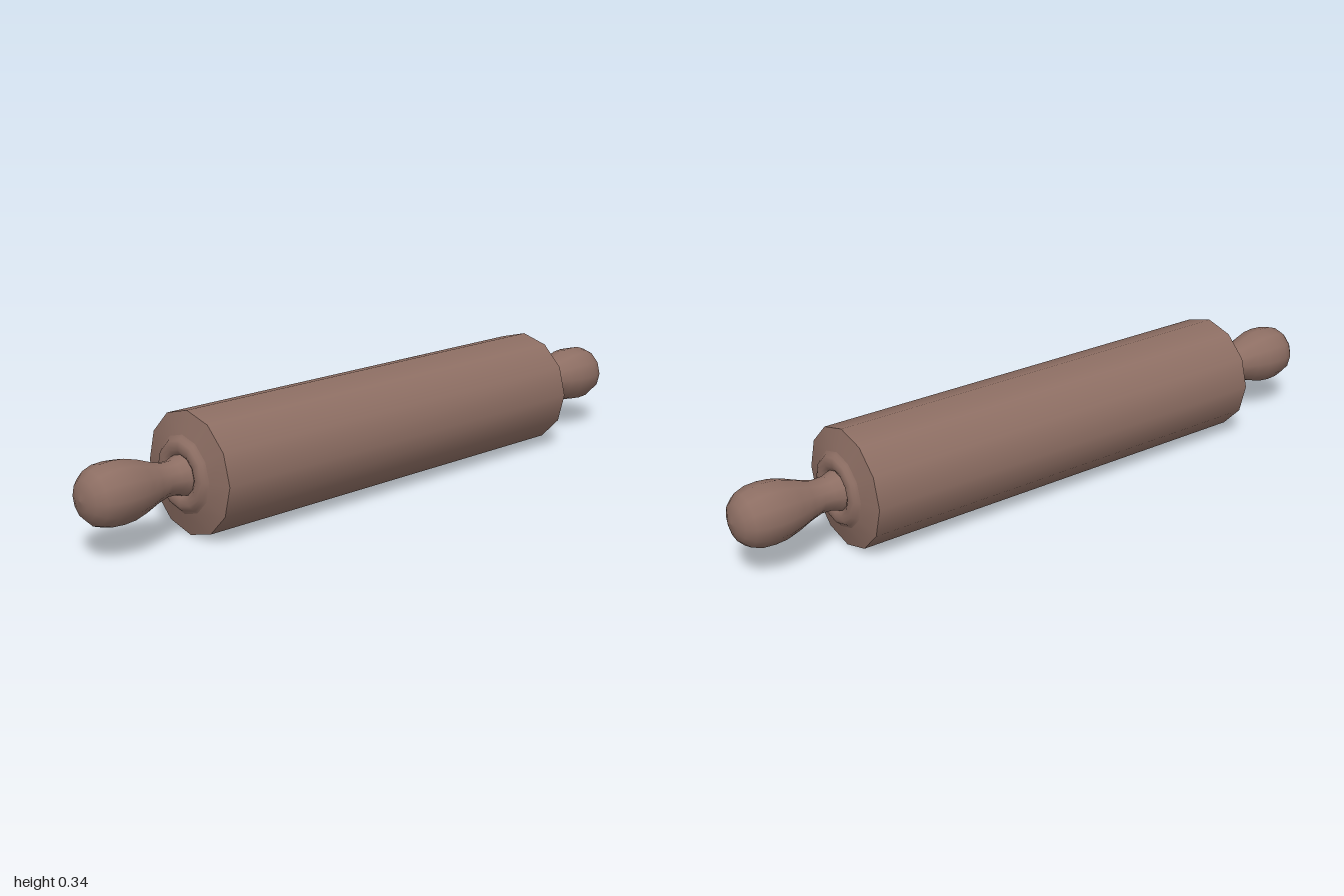
import * as THREE from 'three';

const SIDES = 12;
const RADIUS = 0.17;
const HALF = 0.665;

const wood = new THREE.MeshStandardMaterial({ color: 0x8d6e63 });

// Turned part along the x axis from [x, radius] pairs, listed in rising x
function turned(name, profile) {
  const points = profile.map(([x, r]) => new THREE.Vector2(r, x));
  const geometry = new THREE.LatheGeometry(points, SIDES).rotateZ(-Math.PI / 2);
  const mesh = new THREE.Mesh(geometry, wood);
  mesh.name = name;
  return mesh;
}

// One end: shallow cone face, raised collar and handle
function createEnd(name) {
  const end = new THREE.Group();
  end.name = name;
  end.add(
    turned('endFace', [[HALF, RADIUS], [0.682, 0.108]]),
    turned('collar', [
      [0.682, 0.108], [0.687, 0.1], [0.695, 0.094], [0.699, 0.084], [0.699, 0.07], [0.694, 0.06], [0.685, 0.05],
    ]),
    turned('handle', [
      [0.68, 0.058], [0.7, 0.054], [0.72, 0.047], [0.75, 0.046], [0.785, 0.056], [0.825, 0.071],
      [0.865, 0.082], [0.9, 0.085], [0.935, 0.083], [0.965, 0.073], [0.986, 0.053], [0.996, 0.028], [1, 0],
    ]),
  );
  return end;
}

export function createModel() {
  const model = new THREE.Group();
  model.name = 'rollingPin';

  // Main roller
  model.add(turned('roller', [[-HALF, RADIUS], [HALF, RADIUS]]));

  // Matching ends, the second turned half way round
  const left = createEnd('leftEnd');
  const right = createEnd('rightEnd');
  right.rotation.y = Math.PI;
  model.add(left, right);

  // Rest the roller on the ground
  model.children.forEach((part) => { part.position.y = RADIUS; });
  return model;
}
